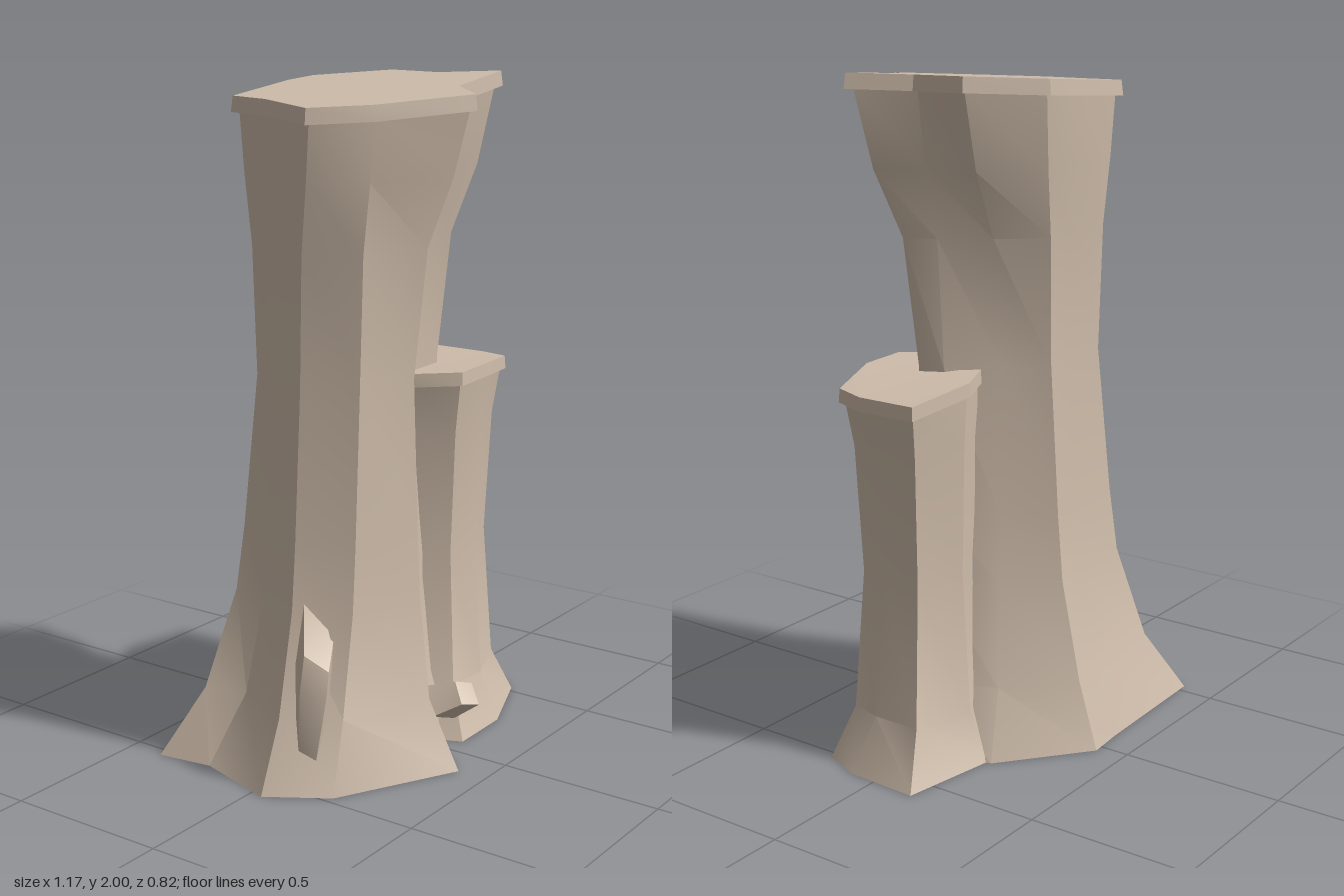
import * as THREE from 'three';
import { toCreasedNormals } from 'three/addons/utils/BufferGeometryUtils.js';

const V = (x, y, z) => new THREE.Vector3(x, y, z);

// Skin a stack of closed rings (clockwise seen from above); optionally close both ends.
function loft(rings, closed) {
  const pos = [];
  const tri = (...pts) => pts.forEach((p) => pos.push(p.x, p.y, p.z));
  for (let r = 0; r < rings.length - 1; r++) {
    const lo = rings[r], hi = rings[r + 1];
    for (let i = 0; i < lo.length; i++) {
      const j = (i + 1) % lo.length;
      tri(lo[i], hi[j], lo[j]);
      tri(lo[i], hi[i], hi[j]);
    }
  }
  const close = (ring, up) => {
    const flat = ring.map((p) => new THREE.Vector2(p.x, p.z));
    for (const [a, b, c] of THREE.ShapeUtils.triangulateShape(flat, [])) {
      const A = ring[a], B = ring[b], C = ring[c];
      const ny = B.clone().sub(A).cross(C.clone().sub(A)).y;
      if (ny > 0 === up) tri(A, B, C);
      else tri(A, C, B);
    }
  };
  if (closed) {
    close(rings[rings.length - 1], true);
    close(rings[0], false);
  }
  const g = new THREE.BufferGeometry();
  g.setAttribute('position', new THREE.Float32BufferAttribute(pos, 3));
  return toCreasedNormals(g, 0.5);
}

// Pillar: blends through the outlines and ends under the cap; steps are [y, blend].
function pillar({ outlines, top, steps, capY, capThick, centre, inset }) {
  const scaled = (k) => top.map(([x, z]) => [
    centre[0] + (x - centre[0]) * k, centre[1] + (z - centre[1]) * k]);
  const keys = [...outlines, scaled(inset)];
  const rings = steps.map(([y, t]) => {
    const n = Math.min(Math.floor(t), keys.length - 2), k = t - n;
    return keys[n].map(([x, z], i) => V(
      x + (keys[n + 1][i][0] - x) * k, y, z + (keys[n + 1][i][1] - z) * k));
  });
  rings.push(scaled(inset).map(([x, z]) => V(x, capY(x, z) - capThick * 0.8, z)));
  const rim = (k, drop) => scaled(k).map(([x, z]) => V(x, capY(x, z) - drop, z));
  return {
    body: loft(rings, false),
    cap: loft([rim(1, capThick), rim(0.985, 0)], true),
  };
}

export function createModel() {
  const group = new THREE.Group();
  const stone = new THREE.MeshStandardMaterial({ color: 0xcdbba9, side: THREE.DoubleSide });
  stone.name = 'warm stone';
  const add = (name, geometry) => {
    const mesh = new THREE.Mesh(geometry, stone);
    mesh.name = name;
    group.add(mesh);
  };

  // Tall pillar, outlines as [x, z]: base, foot, waist
  const tall = pillar({
    outlines: [
      [[-0.535, -0.385], [-0.09, -0.40], [0.03, -0.41], [0.285, -0.205], [0.36, 0.03], [0.37, 0.19],
        [0.02, 0.25], [-0.115, 0.408], [-0.475, 0.215], [-0.585, 0.04], [-0.51, -0.215]],
      [[-0.42, -0.30], [-0.07, -0.335], [0.02, -0.34], [0.20, -0.17], [0.28, 0.04], [0.285, 0.15],
        [-0.005, 0.19], [-0.11, 0.30], [-0.385, 0.185], [-0.485, 0.03], [-0.38, -0.175]],
      [[-0.275, -0.20], [-0.09, -0.215], [0.0, -0.215], [0.085, -0.10], [0.205, 0.02], [0.22, 0.10],
        [0, 0.135], [-0.07, 0.212], [-0.265, 0.16], [-0.345, 0.01], [-0.305, -0.11]],
    ],
    top: [[-0.32, -0.245], [0, -0.29], [0.11, -0.28], [0.305, -0.125], [0.312, 0.04], [0.418, 0.197],
      [0.10, 0.25], [-0.015, 0.38], [-0.287, 0.227], [-0.413, 0.085], [-0.332, -0.12]],
    steps: [[0, 0], [0.2, 1], [0.5, 1.58], [0.7, 1.74], [1.15, 2], [1.53, 2.24], [1.73, 2.7]],
    capY: (x, z) => 1.971 + 0.08 * x - 0.02 * z,
    capThick: 0.045,
    centre: [0, 0],
    inset: 0.94,
  });
  add('tallPillar', tall.body);
  add('tallPillarCap', tall.cap);

  // Short pillar leaning against it: base, waist
  const short = pillar({
    outlines: [
      [[0.285, -0.19], [0.585, -0.14], [0.575, 0.09], [0.525, 0.205], [0.275, 0.303], [0.07, 0.305],
        [0.025, 0.20], [-0.125, 0.02]],
      [[0.28, -0.10], [0.44, -0.06], [0.44, 0.06], [0.425, 0.15], [0.27, 0.215], [0.145, 0.205],
        [0.07, 0.125], [-0.02, 0.02]],
    ],
    top: [[0.28, -0.13], [0.508, -0.10], [0.508, 0.09], [0.475, 0.19], [0.27, 0.258], [0.10, 0.27],
      [0.012, 0.16], [-0.04, 0.02]],
    steps: [[0, 0], [0.15, 0.7], [0.57, 1], [0.95, 1.45]],
    capY: (x) => 1.148 - 0.12 * Math.max(0, x - 0.25) - 0.03 * Math.max(0, 0.2 - x),
    capThick: 0.04,
    centre: [0.26, 0.06],
    inset: 0.93,
  });
  add('shortPillar', short.body);
  add('shortPillarCap', short.cap);

  // Stone shards jutting from the foot
  add('sideShard', loft([
    [V(-0.485, 0.12, 0.10), V(-0.45, 0.1, 0.05), V(-0.40, 0.2, 0.14), V(-0.475, 0.1, 0.155)],
    [V(-0.49, 0.3, 0.11), V(-0.43, 0.36, 0.05), V(-0.36, 0.35, 0.13), V(-0.45, 0.29, 0.175)],
    [V(-0.475, 0.41, 0.115), V(-0.42, 0.54, 0.075), V(-0.345, 0.43, 0.125), V(-0.435, 0.36, 0.172)],
  ], true));
  add('frontShard', loft([
    [V(0.02, 0.17, 0.19), V(0.10, 0.11, 0.20), V(0.06, 0.075, 0.28), V(0, 0.09, 0.24)],
    [V(0.07, 0.19, 0.275), V(0.125, 0.172, 0.30), V(0.08, 0.13, 0.355), V(0.03, 0.14, 0.325)],
  ], true));

  return group;
}
